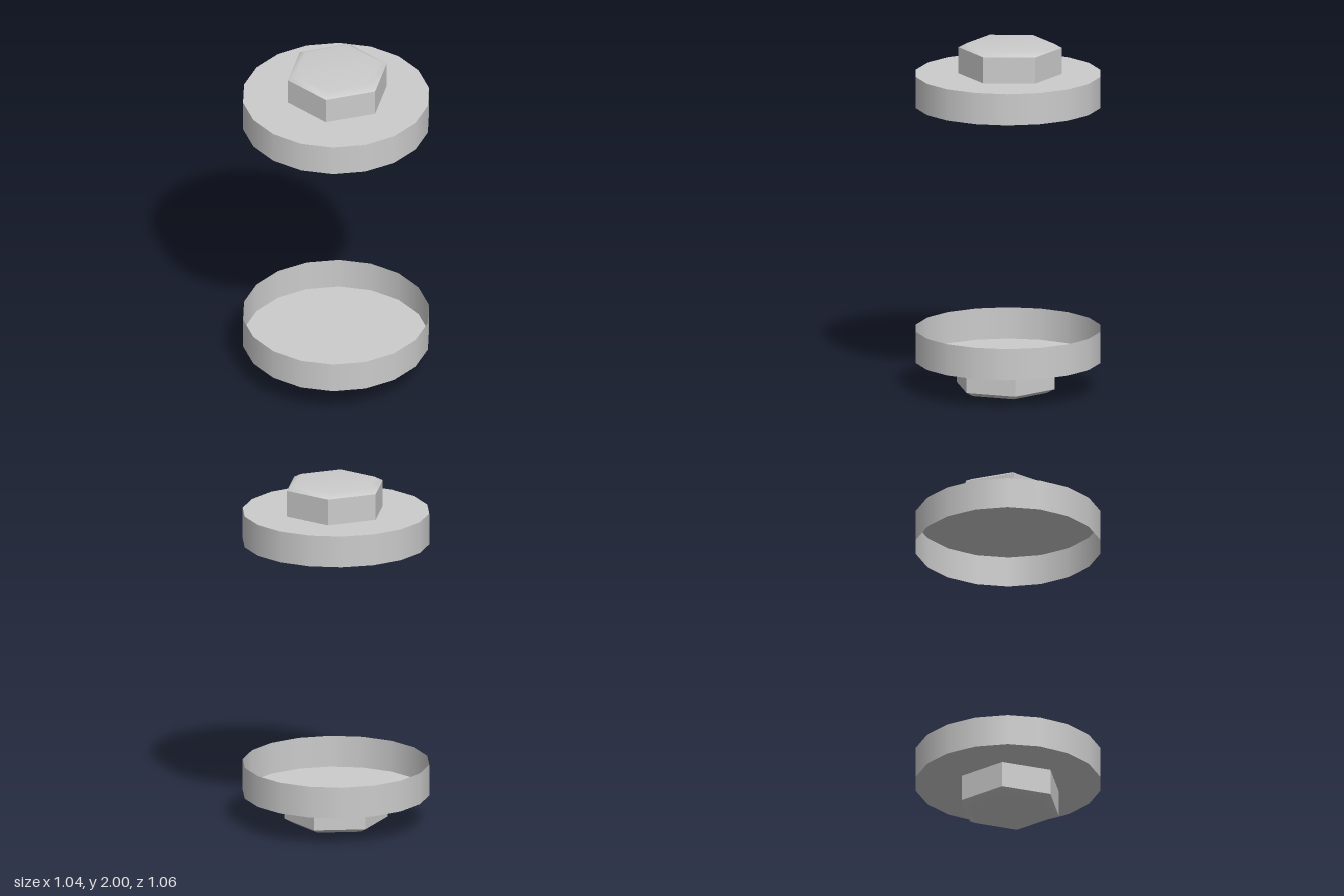
import * as THREE from 'three';

const WASHER_R = 0.528, BOLT_R = 0.29, BOLT_TURN = THREE.MathUtils.degToRad(8.8);

const smooth = new THREE.MeshStandardMaterial({ color: 0xcccccc, side: THREE.DoubleSide });
const flat = new THREE.MeshStandardMaterial({ color: 0xcccccc, side: THREE.DoubleSide, flatShading: true });

function addPart(parent, name, geometry, material, x, y, z) {
  const mesh = new THREE.Mesh(geometry, material);
  mesh.name = name;
  mesh.position.set(x, y, z);
  parent.add(mesh);
}

// One end cap, heights measured from the middle of the model
function createEnd(name) {
  const end = new THREE.Group();
  end.name = name;

  // Open-ended round cup: thin wall and a single disc
  addPart(end, 'washerRim', new THREE.CylinderGeometry(WASHER_R, WASHER_R, 0.18, 18, 1, true), smooth, 0, 0.735, 0);
  const disc = new THREE.CircleGeometry(WASHER_R, 18, Math.PI / 2).rotateX(-Math.PI / 2);
  addPart(end, 'washerFace', disc, flat, 0, 0.825, 0);

  // Hexagonal bolt head with flat sides
  const sides = new THREE.CylinderGeometry(BOLT_R, BOLT_R, 0.15, 6, 1, true, BOLT_TURN);
  addPart(end, 'boltSides', sides, flat, 0.003, 0.9, -0.013);

  // Softly shaded chamfer and top of the bolt head
  const profile = [[BOLT_R, 0], [0.243, 0.025], [0, 0.025]].map(([r, y]) => new THREE.Vector2(r, y));
  addPart(end, 'boltTop', new THREE.LatheGeometry(profile, 6, BOLT_TURN), smooth, 0.003, 0.975, -0.013);
  return end;
}

export function createModel() {
  const model = new THREE.Group();
  model.name = 'boltedEnds';
  // The lower end is the upper one turned over about the x axis
  for (const [name, turn] of [['upperEnd', 0], ['lowerEnd', Math.PI]]) {
    const end = createEnd(name);
    end.position.y = 1;
    end.rotation.x = turn;
    model.add(end);
  }
  return model;
}
